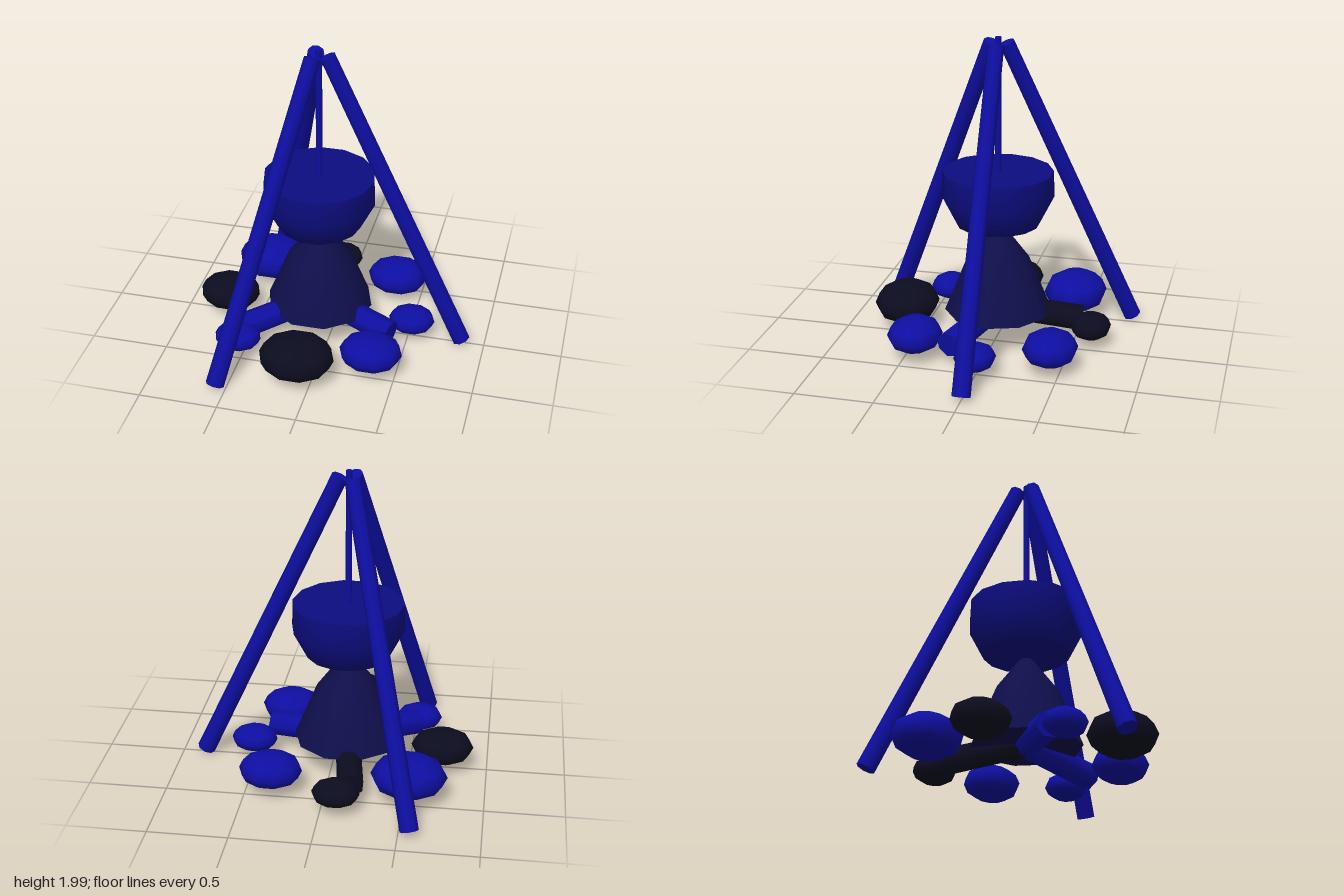
import * as THREE from 'three';

const mat = (name, color, side = THREE.FrontSide) => {
  const m = new THREE.MeshStandardMaterial({ color, side });
  m.name = name;
  return m;
};

export function createModel() {
  const group = new THREE.Group();
  const blue = mat('bright blue', 0x0e0ea2);
  const potBlue = mat('pot blue', 0x0d0d82);
  const navy = mat('dark navy', 0x0f0f4c);
  const black = mat('blue black', 0x0c0c20);
  const cx = -0.095; // axis of the tripod, pot and fire

  const add = (name, geometry, material) => {
    const mesh = new THREE.Mesh(geometry, material);
    mesh.name = name;
    group.add(mesh);
    return mesh;
  };

  // Point at a distance and angle around the central axis
  const polar = (radius, angle, y) =>
    new THREE.Vector3(cx + radius * Math.cos(angle), y, radius * Math.sin(angle));

  // Tapered cylinder between two points
  const rod = (name, from, to, r0, r1, sides, material) => {
    const dir = to.clone().sub(from);
    const mesh = add(name, new THREE.CylinderGeometry(r1, r0, dir.length(), sides), material);
    mesh.position.copy(from).add(to).multiplyScalar(0.5);
    mesh.quaternion.setFromUnitVectors(new THREE.Vector3(0, 1, 0), dir.normalize());
  };

  // Solid of revolution on the central axis
  const turned = (name, profile, sides, material) => {
    const points = profile.map(([r, y]) => new THREE.Vector2(r, y));
    const mesh = add(name, new THREE.LatheGeometry(points, sides), material);
    mesh.rotation.y = Math.PI / 2;
    mesh.position.x = cx;
  };

  // Tripod poles and the logs of the fire
  const logColours = [blue, blue, black];
  for (let i = 0; i < 3; i++) {
    const a = (i * Math.PI * 2) / 3;
    rod('tripodPole', polar(0.945, a, 0.03), polar(0.055, a, 1.96), 0.059, 0.051, 8, blue);
    const b = a + 0.37;
    rod('fireLog', polar(0.55, b, 0.145), polar(0, b, 0.215), 0.085, 0.08, 7, logColours[i]);
  }

  // Hanging rope
  rod('rope', new THREE.Vector3(cx, 1.1, 0), new THREE.Vector3(cx, 2, 0), 0.021, 0.021, 6, blue);

  // Cooking pot with a flat filled top
  turned('pot', [[0, 0.755], [0.268, 0.793], [0.358, 0.97], [0.352, 1.14]], 14, potBlue);
  turned('potContents', [[0.352, 1.14], [0, 1.14]], 14, potBlue);

  // Flame mound and its flat base
  turned('flame', [[0.345, 0.2], [0.2, 0.555], [0, 0.82]], 10, navy);
  turned('flameBase', [[0, 0.2], [0.345, 0.2]], 10, navy);

  // Ring of flattened stones: size and colour, counted from the left side
  const stones = [
    [0.15, blue], [0.2, blue], [0.24, black], [0.15, blue],
    [0.2, black], [0.24, blue], [0.15, black], [0.2, blue],
  ];
  const stoneGeometry = new THREE.SphereGeometry(1, 10, 6);
  stones.forEach(([r, material], i) => {
    const stone = add('stone', stoneGeometry, material);
    stone.position.copy(polar(0.615, (i * Math.PI) / 4, 0.052 + 0.55 * r));
    stone.scale.set(r, 0.55 * r, 0.87 * r);
  });

  return group;
}
